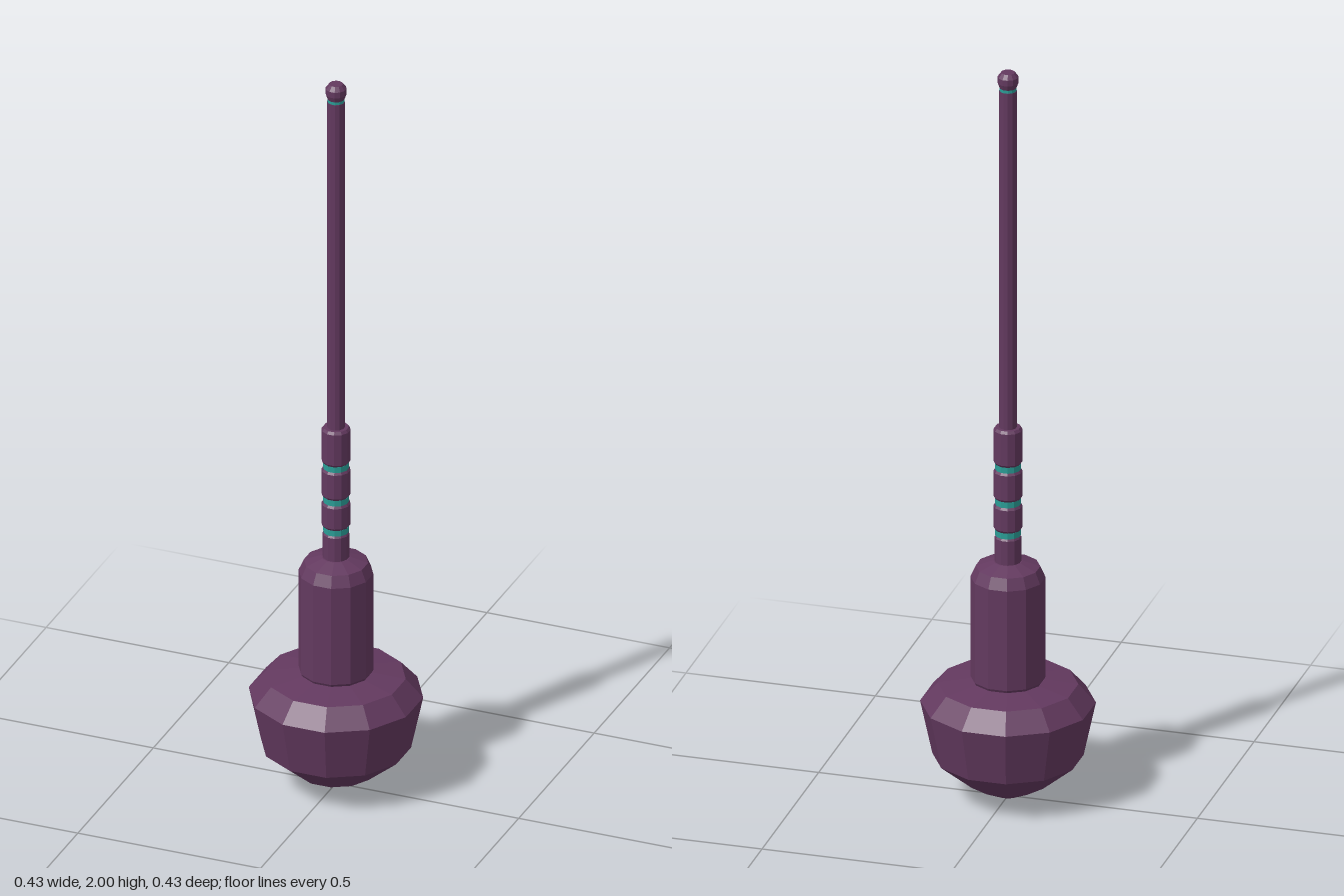
import * as THREE from 'three';

const SIDES = 12;
const TURN = Math.PI / SIDES; // flat facets face the axes

const plum = new THREE.MeshStandardMaterial({ color: 0x63395f, flatShading: true });
const teal = new THREE.MeshStandardMaterial({ color: 0x2a9d96, flatShading: true });

// Faceted turned part; profile runs bottom to top as [half width across flats, y]
function turned(name, profile, material = plum) {
  const points = profile.map(([w, y]) => new THREE.Vector2(w / Math.cos(TURN), y));
  const mesh = new THREE.Mesh(new THREE.LatheGeometry(points, SIDES, TURN), material);
  mesh.name = name;
  return mesh;
}

export function createModel() {
  const group = new THREE.Group();
  group.name = 'spindle';

  // Heavy bulb with a blunt pointed underside and a sloping shoulder
  group.add(turned('bulb', [
    [0, 0], [0.028, 0.004], [0.1, 0.042], [0.185, 0.115],
    [0.215, 0.26], [0.172, 0.31], [0.09, 0.323], [0, 0.323],
  ]));

  // Thick barrel above the bulb
  group.add(turned('barrel', [
    [0.084, 0.315], [0.092, 0.33], [0.092, 0.605], [0.079, 0.635], [0.036, 0.65], [0, 0.65],
  ]));

  // Grip sections separated by coloured rings
  const rings = [0.73, 0.816, 0.912];
  const ends = [0.64, ...rings, 1.02];
  for (let i = 0; i < ends.length - 1; i++) {
    const bottom = ends[i] + (i ? 0.007 : 0);
    const top = ends[i + 1] - (i < rings.length ? 0.007 : 0);
    const w = i ? 0.036 : 0.033;
    group.add(turned('gripSection', [
      [0, bottom], [w - 0.005, bottom], [w, bottom + 0.007],
      [w, top - 0.007], [w - 0.005, top], [0, top],
    ]));
  }
  for (const y of rings) {
    group.add(turned('gripRing', [[0, y - 0.008], [0.032, y - 0.008], [0.032, y + 0.008], [0, y + 0.008]], teal));
  }

  // Long thin rod, its tip ring and end cap
  group.add(turned('rod', [[0.022, 1.01], [0.022, 1.95], [0, 1.95]]));
  group.add(turned('tipRing', [[0, 1.948], [0.021, 1.948], [0.021, 1.96], [0, 1.96]], teal));
  group.add(turned('endCap', [
    [0, 1.958], [0.021, 1.958], [0.026, 1.972], [0.026, 1.988], [0.017, 2], [0, 2],
  ]));

  return group;
}
